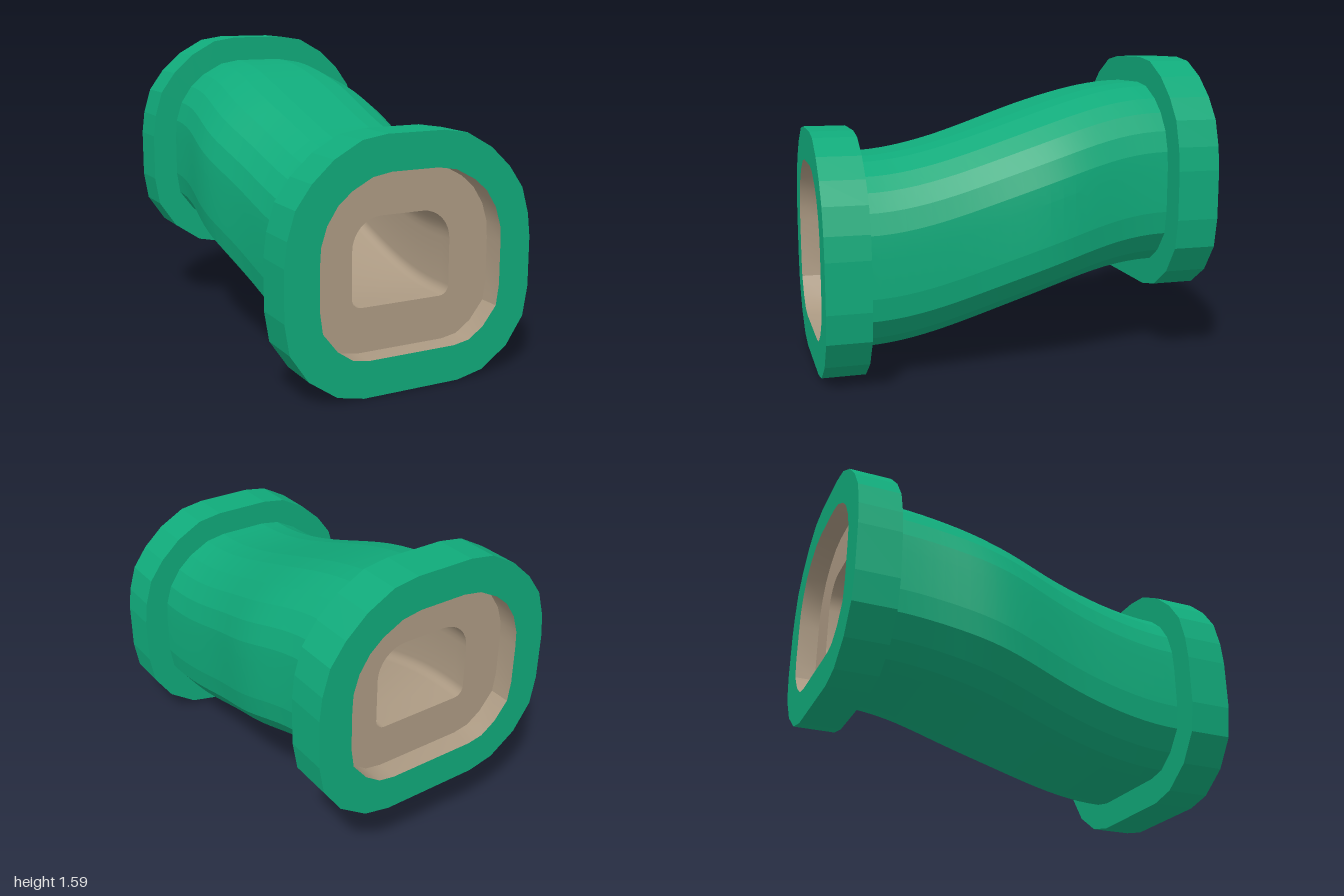
import * as THREE from 'three';
import { toCreasedNormals } from 'three/addons/utils/BufferGeometryUtils.js';

const RISE = 0.357; // height gained from front to back

// Right half of a profile, bottom to top, mirrored into a closed counter-clockwise ring
const mirror = (half) => [...half, ...half.map(([x, y]) => [-x, y]).reverse()];

const OUTER = mirror([
  [0.26, 0], [0.4, 0.03], [0.545, 0.13], [0.64, 0.27], [0.665, 0.42], [0.665, 0.67],
  [0.65, 0.79], [0.61, 0.923], [0.53, 1.033], [0.42, 1.133], [0.28, 1.21], [0.15, 1.23],
]);
const INNER = mirror([
  [0.235, 0.18], [0.32, 0.195], [0.4, 0.25], [0.475, 0.345], [0.49, 0.45], [0.49, 0.66],
  [0.485, 0.745], [0.455, 0.84], [0.4, 0.925], [0.33, 0.985], [0.225, 1.04], [0.125, 1.057],
]);
// The pipe wall lies between the flange rim and its opening
const BODY = INNER.map(([x, y], i) => [
  THREE.MathUtils.lerp(x, OUTER[i][0], 0.225),
  THREE.MathUtils.lerp(y, OUTER[i][1], 0.225),
]);

// Rounded tunnel opening: tight corners below, wide corners above
function tunnelProfile() {
  const half = [];
  const corner = (cx, cy, r, from, n) => {
    for (let i = 0; i <= n; i++) {
      const a = from + (i / n) * Math.PI / 2;
      half.push([cx + r * Math.cos(a), cy + r * Math.sin(a)]);
    }
  };
  corner(0.218, 0.45, 0.05, -Math.PI / 2, 5);
  corner(0.113, 0.678, 0.155, 0, 8);
  return mirror(half);
}
const TUNNEL = tunnelProfile();

// S-shaped lift along the pipe, level inside both flanges
const lift = (z) => RISE * THREE.MathUtils.smoothstep(-z, -0.78, 0.78);

const ring = (profile, z, widen = 1) =>
  profile.map(([x, y]) => [x * widen, y + lift(z), z]);

// Skin between successive rings; rings running towards -z face outwards
function loft(rings, crease) {
  const pos = [];
  for (let i = 0; i < rings.length - 1; i++) {
    const a = rings[i], b = rings[i + 1], n = a.length;
    for (let j = 0; j < n; j++) {
      const k = (j + 1) % n;
      pos.push(...a[j], ...b[j], ...a[k], ...a[k], ...b[j], ...b[k]);
    }
  }
  const geo = new THREE.BufferGeometry();
  geo.setAttribute('position', new THREE.Float32BufferAttribute(pos, 3));
  return toCreasedNormals(geo, crease);
}

const stations = (from, to, n) =>
  Array.from({ length: n + 1 }, (_, i) => from + (to - from) * (i / n));

export function createModel() {
  const green = new THREE.MeshStandardMaterial({ color: 0x10aa7a });
  green.name = 'green';
  const beige = new THREE.MeshStandardMaterial({ color: 0xac9a83 });
  beige.name = 'beige';

  const model = new THREE.Group();
  model.name = 'curvedPipe';
  const add = (name, geometry, material) => {
    const mesh = new THREE.Mesh(geometry, material);
    mesh.name = name;
    model.add(mesh);
    return mesh;
  };

  // Pipe wall, bulging sideways just behind the middle
  const bulge = (z) => 1 + 0.095 * Math.exp(-(((z + 0.2) / 0.3) ** 2));
  add('pipeBody', loft(stations(0.78, -0.78, 24).map((z) => ring(BODY, z, bulge(z))), 0.12), green);

  // Flanges with a recessed opening
  for (const [name, z0, z1] of [['frontFlange', 1, 0.78], ['backFlange', -0.78, -1]]) {
    add(name, loft([ring(INNER, z0), ring(OUTER, z0), ring(OUTER, z1), ring(INNER, z1)], 0.1), green);
  }
  add('frontRecessWall', loft([ring(INNER, 0.89), ring(INNER, 1)], 0.5), beige);
  add('backRecessWall', loft([ring(INNER, -1), ring(INNER, -0.89)], 0.5), beige);

  // End faces of the lining, pierced by the tunnel
  const toPoints = (profile) => profile.map(([x, y]) => new THREE.Vector2(x, y));
  const face = new THREE.Shape(toPoints(INNER));
  face.holes.push(new THREE.Path(toPoints(TUNNEL)));
  const faceGeometry = new THREE.ShapeGeometry(face);
  add('frontLiningFace', faceGeometry, beige).position.z = 0.89;
  const back = add('backLiningFace', faceGeometry, beige);
  back.position.set(0, RISE, -0.89);
  back.rotation.y = Math.PI;

  // Tunnel surface, facing inwards
  add('tunnel', loft(stations(-0.89, 0.89, 28).map((z) => ring(TUNNEL, z)), 0.5), beige);

  // Centre the overall height on the ground
  return model;
}
